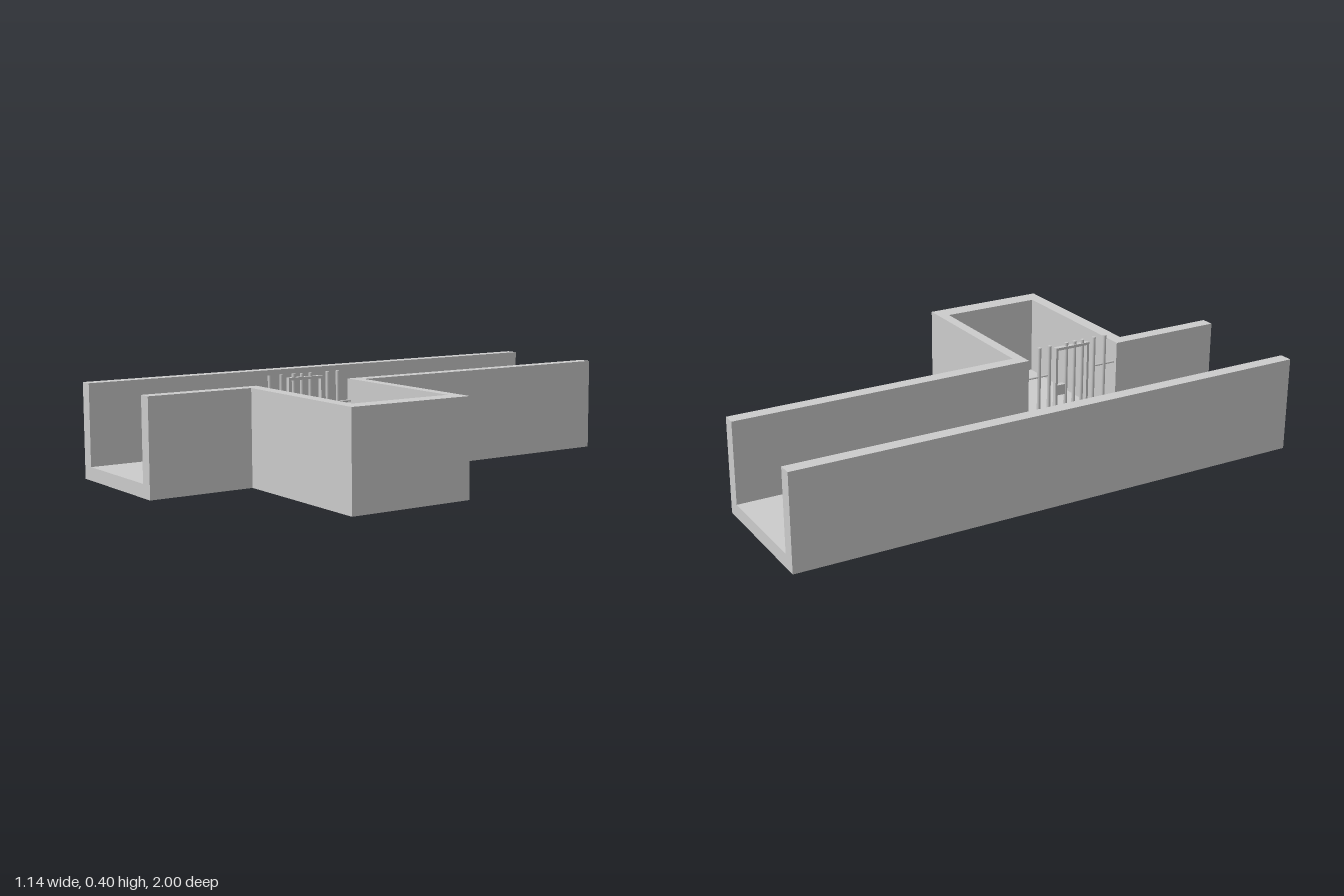
import * as THREE from 'three';

const material = new THREE.MeshStandardMaterial({ color: 0xcccccc, flatShading: true });
const barMaterial = new THREE.MeshStandardMaterial({ color: 0xcccccc });

const BASE = 0.01, FLOOR = 0.06, TOP = 0.365;
const BAR_X = -0.087;

// Extrude a plan outline of [x, z] points from height y0 to y1
function slab(name, plan, y0, y1) {
  const shape = new THREE.Shape(plan.map(([x, z]) => new THREE.Vector2(x, -z)));
  const geometry = new THREE.ExtrudeGeometry(shape, { depth: y1 - y0, bevelEnabled: false });
  geometry.rotateX(-Math.PI / 2).translate(0, y0, 0);
  const mesh = new THREE.Mesh(geometry, material);
  mesh.name = name;
  return mesh;
}

function verticalBar(name, z, y0, y1) {
  const mesh = new THREE.Mesh(new THREE.CylinderGeometry(0.007, 0.007, y1 - y0, 12), barMaterial);
  mesh.position.set(BAR_X, (y0 + y1) / 2, z);
  mesh.name = name;
  return mesh;
}

function crossBar(name, y, z0, z1) {
  const mesh = new THREE.Mesh(new THREE.CylinderGeometry(0.004, 0.004, z1 - z0, 8), barMaterial);
  mesh.rotation.x = Math.PI / 2;
  mesh.position.set(BAR_X, y, (z0 + z1) / 2);
  mesh.name = name;
  return mesh;
}

function block(name, w, h, d, y, z) {
  const mesh = new THREE.Mesh(new THREE.BoxGeometry(w, h, d), material);
  mesh.position.set(BAR_X, y, z);
  mesh.name = name;
  return mesh;
}

export function createModel() {
  const model = new THREE.Group();
  model.name = 'corridorWithCell';

  // T-shaped floor under the corridor and the cell
  model.add(slab('floor', [
    [-0.57, 1], [-0.055, 1], [-0.055, 0.6], [0.57, 0.6],
    [0.57, 0.12], [-0.055, 0.12], [-0.055, -1], [-0.57, -1],
  ], BASE, FLOOR));

  // Plain corridor wall
  model.add(slab('corridorWall', [[-0.57, 1], [-0.52, 1], [-0.52, -1], [-0.57, -1]], FLOOR, TOP));

  // Opposite wall, running on around the cell and open at the bars
  model.add(slab('cellWall', [
    [-0.105, 1], [-0.055, 1], [-0.055, 0.6], [0.57, 0.6], [0.57, 0.12], [-0.055, 0.12],
    [-0.055, -1], [-0.105, -1], [-0.105, 0.16], [0.5, 0.16], [0.5, 0.55], [-0.105, 0.55],
  ], FLOOR, TOP));

  // Fixed bars, passing through the floor
  const grille = new THREE.Group();
  grille.name = 'fixedBars';
  for (const z of [0.216, 0.26, 0.457, 0.505]) grille.add(verticalBar('fixedBar', z, 0, 0.4));
  for (const y of [0.12, 0.285]) {
    grille.add(crossBar('crossBar', y, 0.16, 0.26));
    grille.add(crossBar('crossBar', y, 0.457, 0.55));
  }
  model.add(grille);

  // Barred door between the fixed bars
  const door = new THREE.Group();
  door.name = 'door';
  for (const z of [0.334, 0.37, 0.405]) door.add(verticalBar('doorBar', z, 0.07, 0.4));
  for (const z of [0.289, 0.426]) door.add(block('doorStile', 0.018, 0.315, 0.009, 0.2285, z));
  for (const y of [0.075, 0.382]) door.add(block('doorRail', 0.018, 0.01, 0.146, y, 0.3575));
  door.add(block('lock', 0.02, 0.04, 0.035, 0.22, 0.308));
  model.add(door);

  return model;
}
